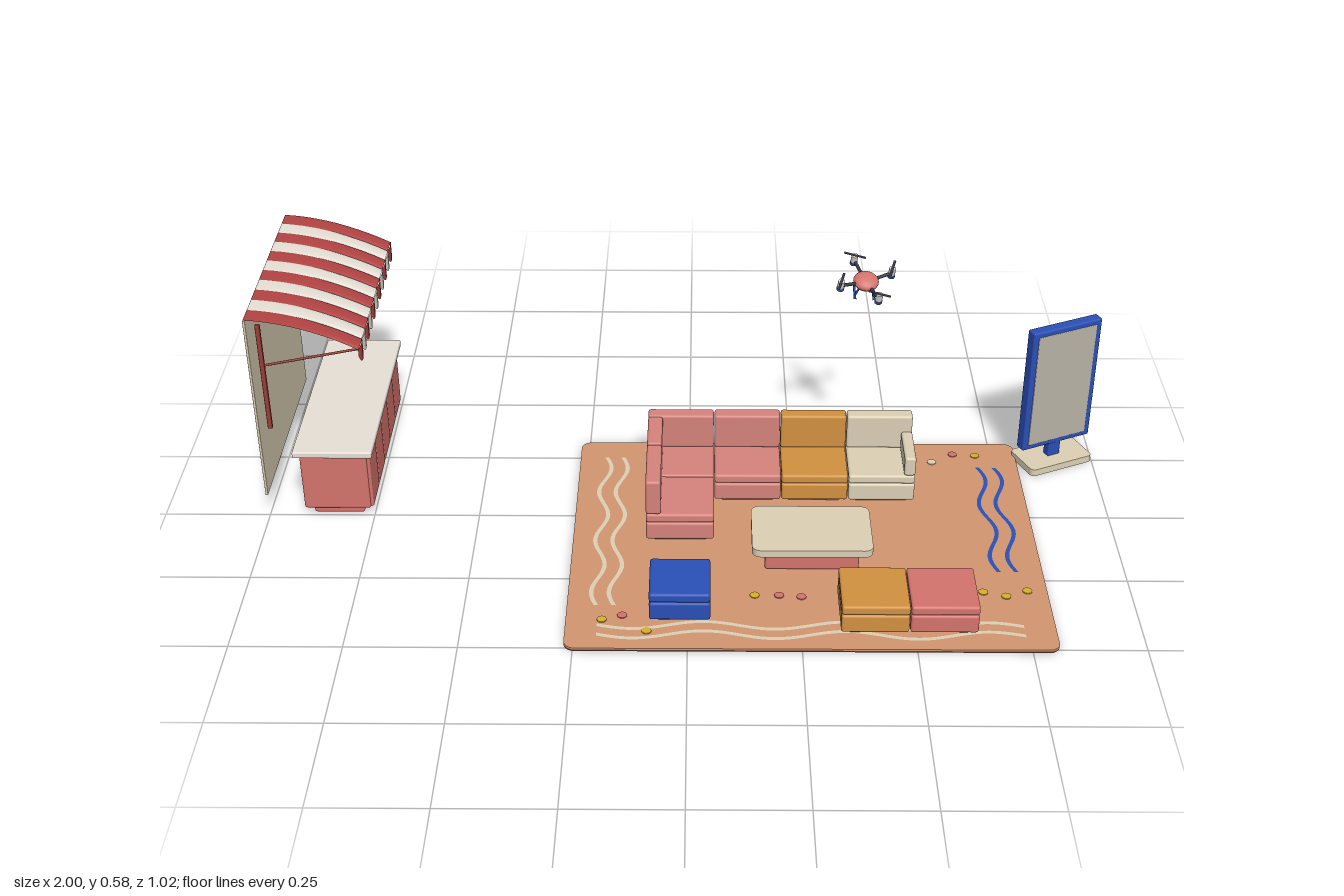
import * as THREE from 'three';
import { RoundedBoxGeometry } from 'three/addons/geometries/RoundedBoxGeometry.js';

const C = { coral: 0xd4736c, pink: 0xd6827c, orange: 0xd29140, cream: 0xdccfb5, blue: 0x2a50b8, red: 0xb24343,
  white: 0xe6e0d6, rug: 0xd29570, brown: 0x5e3d30, wood: 0x9a3d38, dark: 0x333a4a, yellow: 0xd8b02c, screen: 0xb8b2a6 };

function add(parent, name, geometry, color, side = THREE.FrontSide) {
  const mesh = new THREE.Mesh(geometry, new THREE.MeshStandardMaterial({ color, side }));
  mesh.name = name;
  parent.add(mesh);
  return mesh;
}

// Softly rounded box given by its limits on each axis
function block(parent, name, color, [x0, x1], [y0, y1], [z0, z1], r = 0.006) {
  const w = x1 - x0, h = y1 - y0, d = z1 - z0;
  const geo = new RoundedBoxGeometry(w, h, d, 2, Math.min(r, w * 0.45, h * 0.45, d * 0.45));
  const mesh = add(parent, name, geo, color);
  mesh.position.set((x0 + x1) / 2, (y0 + y1) / 2, (z0 + z1) / 2);
  return mesh;
}

// Straight round bar between two points
function bar(parent, name, color, a, b, r) {
  const path = new THREE.LineCurve3(new THREE.Vector3(...a), new THREE.Vector3(...b));
  return add(parent, name, new THREE.TubeGeometry(path, 1, r, 8), color);
}

// Flat slab with rounded corners, lying in the xz plane
function slab(parent, name, color, [x0, x1], [y0, y1], [z0, z1], r) {
  const w = (x1 - x0) / 2, d = (z1 - z0) / 2, s = new THREE.Shape();
  s.absarc(w - r, d - r, r, 0, Math.PI / 2);
  s.absarc(r - w, d - r, r, Math.PI / 2, Math.PI);
  s.absarc(r - w, r - d, r, Math.PI, Math.PI * 1.5);
  s.absarc(w - r, r - d, r, Math.PI * 1.5, Math.PI * 2);
  const geo = new THREE.ExtrudeGeometry(s, { depth: y1 - y0, bevelEnabled: false, curveSegments: 6 });
  geo.rotateX(-Math.PI / 2);
  const mesh = add(parent, name, geo, color);
  mesh.position.set((x0 + x1) / 2, y0, (z0 + z1) / 2);
  return mesh;
}

// Surface from a rule point(u, v), with u and v in 0..1
function surface(nu, nv, point) {
  const geo = new THREE.PlaneGeometry(1, 1, nu, nv), p = geo.attributes.position;
  for (let i = 0; i < p.count; i++) p.setXYZ(i, ...point(p.getX(i) + 0.5, 0.5 - p.getY(i)));
  geo.computeVertexNormals();
  return geo;
}

function rug() {
  const g = new THREE.Group();
  g.name = 'rug';
  slab(g, 'rugBacking', C.brown, [-0.27, 0.81], [0, 0.004], [-0.31, 0.51], 0.025);
  slab(g, 'rugTop', C.rug, [-0.27, 0.81], [0.004, 0.008], [-0.31, 0.51], 0.025);
  // Wavy ribbons: along z at x = c, or along x at z = c
  const wave = (color, c, from, to, alongX, waves, amp) => {
    const geo = surface(60, 1, (u, v) => {
      const a = from + u * (to - from);
      const b = c + amp * Math.sin(u * waves * Math.PI * 2) + (v - 0.5) * 0.01;
      return alongX ? [a, 0.0095, b] : [b, 0.0095, a];
    });
    add(g, 'waveStripe', geo, color, THREE.DoubleSide);
  };
  for (const x of [-0.205, -0.165]) wave(C.cream, x, -0.24, 0.36, false, 3, 0.013);
  for (const x of [0.71, 0.75]) wave(C.blue, x, -0.2, 0.23, false, 2, 0.014);
  for (const z of [0.43, 0.463]) wave(C.cream, z, -0.2, 0.74, true, 3, 0.013);
  const dots = [[0.6, -0.225, C.cream], [0.655, -0.26, C.coral], [0.71, -0.255, C.yellow], [0.15, 0.32, C.yellow],
    [0.205, 0.32, C.coral], [0.255, 0.325, C.coral], [0.665, 0.305, C.yellow], [0.715, 0.32, C.yellow],
    [0.765, 0.3, C.yellow], [-0.19, 0.41, C.yellow], [-0.145, 0.395, C.coral], [-0.09, 0.45, C.yellow]];
  for (const [x, z, color] of dots)
    add(g, 'dot', new THREE.CylinderGeometry(0.011, 0.011, 0.003, 12), color).position.set(x, 0.009, z);
  return g;
}

// Square seat: recessed plinth, base box and cushion
function seat(parent, color, x, z) {
  const inset = ([a, b]) => [a + 0.015, b - 0.015];
  block(parent, 'seatPlinth', color, inset(x), [0.008, 0.022], inset(z));
  block(parent, 'seatBase', color, x, [0.02, 0.066], z);
  block(parent, 'seatCushion', color, x, [0.067, 0.09], z);
}

function sofa() {
  const g = new THREE.Group();
  g.name = 'cornerSofa';
  [C.pink, C.pink, C.orange, C.cream].forEach((color, i) => {
    const x = [-0.099 + i * 0.16, 0.059 + i * 0.16];
    seat(g, color, x, [-0.198, -0.041]);
    block(g, 'backCushion', color, x, [0.09, 0.18], [-0.198, -0.163]);
  });
  seat(g, C.pink, [-0.099, 0.059], [-0.039, 0.123]);
  block(g, 'sideCushion', C.pink, [-0.099, -0.064], [0.09, 0.18], [-0.039, 0.123]);
  block(g, 'sideCushion', C.pink, [-0.099, -0.064], [0.09, 0.18], [-0.163, -0.041]);
  block(g, 'armrest', C.cream, [0.512, 0.539], [0.09, 0.14], [-0.163, -0.041]);
  return g;
}

function ottomansAndTable() {
  const g = new THREE.Group();
  g.name = 'ottomansAndTable';
  seat(g, C.blue, [-0.085, 0.05], [0.29, 0.427]);
  seat(g, C.orange, [0.335, 0.484], [0.32, 0.468]);
  seat(g, C.coral, [0.486, 0.635], [0.32, 0.468]);
  slab(g, 'tableTop', C.cream, [0.145, 0.42], [0.063, 0.081], [0.073, 0.25], 0.02);
  block(g, 'tableBase', C.coral, [0.175, 0.39], [0.008, 0.063], [0.1, 0.223]);
  return g;
}

function stall() {
  const g = new THREE.Group();
  g.name = 'marketStall';
  block(g, 'backWall', C.cream, [-1, -0.994], [0.07, 0.54], [-0.51, 0.02], 0.001);
  // Counter
  block(g, 'counterPlinth', C.coral, [-0.895, -0.775], [0, 0.022], [-0.48, -0.01]);
  block(g, 'counterBody', C.coral, [-0.915, -0.757], [0.02, 0.174], [-0.492, 0.002]);
  for (let i = 0; i < 5; i++) {
    const z = -0.49 + i * 0.098;
    block(g, 'counterPanel', C.coral, [-0.765, -0.75], [0.024, 0.168], [z + 0.002, z + 0.096], 0.004);
  }
  block(g, 'counterTop', C.white, [-0.927, -0.741], [0.173, 0.19], [-0.51, 0.02], 0.004);
  // Striped awning with a scalloped front edge
  const profile = new THREE.QuadraticBezierCurve(
    new THREE.Vector2(-0.998, 0.543), new THREE.Vector2(-0.87, 0.535), new THREE.Vector2(-0.746, 0.468));
  const n = 11, w = 0.53 / n;
  for (let i = 0; i < n; i++) {
    const color = i % 2 ? C.white : C.red, z0 = -0.51 + i * w;
    const bulge = u => Math.sqrt(Math.max(0, 1 - (2 * u - 1) ** 2));
    add(g, 'awningStripe', surface(10, 10, (u, v) => {
      const p = profile.getPoint(v), b = 0.007 * v * bulge(u);
      return [p.x + b * 0.5, p.y + b * 0.8, z0 + (1 - u) * w];
    }), color, THREE.DoubleSide);
    add(g, 'awningScallop', surface(10, 3, (u, v) => {
      const b = bulge(u);
      return [-0.746 + 0.005 * b, 0.468 + 0.0055 * b * (1 - v) - v * (0.018 + 0.02 * b), z0 + (1 - u) * w];
    }), color, THREE.DoubleSide);
  }
  // Posts and slanted arms at both ends
  for (const z of [-0.497, 0.007]) {
    block(g, 'awningPost', C.wood, [-0.976, -0.965], [0.25, 0.525], [z - 0.005, z + 0.005], 0.002);
    bar(g, 'awningArm', C.wood, [-0.97, 0.418, z], [-0.748, 0.463, z], 0.003);
  }
  bar(g, 'awningFrontRail', C.wood, [-0.75, 0.462, -0.505], [-0.75, 0.462, 0.015], 0.003);
  return g;
}

function signStand() {
  const g = new THREE.Group();
  g.name = 'signStand';
  slab(g, 'signBase', C.cream, [-0.087, 0.087], [0, 0.018], [-0.052, 0.052], 0.012);
  block(g, 'signPost', C.blue, [-0.017, 0.017], [0.016, 0.06], [-0.011, 0.011], 0.003);
  block(g, 'signPanel', C.blue, [-0.096, 0.096], [0.055, 0.385], [-0.014, 0.014], 0.004);
  block(g, 'signScreen', C.screen, [-0.082, 0.082], [0.068, 0.372], [0.01, 0.0155], 0.002);
  g.position.set(0.9, 0, -0.258);
  g.rotation.y = 0.43;
  return g;
}

function drone() {
  const g = new THREE.Group();
  g.name = 'drone';
  const body = add(g, 'droneBody', new THREE.SphereGeometry(0.03, 20, 12), C.coral);
  body.scale.set(1, 0.5, 1);
  const belly = add(g, 'droneBelly', new THREE.SphereGeometry(0.025, 16, 10), C.white);
  belly.scale.set(1, 0.5, 1);
  belly.position.y = -0.007;
  for (let i = 0; i < 4; i++) {
    const arm = new THREE.Group();
    arm.name = 'droneArm';
    arm.rotation.y = 0.4 + i * Math.PI / 2;
    bar(arm, 'armBar', C.dark, [0.02, 0, 0], [0.066, 0.006, 0], 0.004);
    add(arm, 'motor', new THREE.CylinderGeometry(0.008, 0.008, 0.024, 12), C.white).position.set(0.066, 0.009, 0);
    add(arm, 'motorRing', new THREE.CylinderGeometry(0.009, 0.009, 0.007, 12), C.blue).position.set(0.066, -0.002, 0);
    const blade = block(arm, 'propeller', C.dark, [0.04, 0.092], [0.021, 0.023], [-0.003, 0.003], 0.001);
    blade.rotation.y = 0.9;
    g.add(arm);
  }
  // Landing skids
  for (const s of [-1, 1]) {
    bar(g, 'skid', C.blue, [s * 0.022, -0.035, -0.028], [s * 0.022, -0.035, 0.028], 0.003);
    for (const z of [-0.014, 0.014]) bar(g, 'skidLeg', C.blue, [s * 0.014, -0.006, z], [s * 0.022, -0.035, z], 0.0025);
  }
  g.position.set(0.41, 0.537, -0.187);
  g.rotation.set(0.3, 0, -0.08);
  return g;
}

export function createModel() {
  const model = new THREE.Group();
  model.name = 'loungeScene';
  model.add(rug(), sofa(), ottomansAndTable(), stall(), signStand(), drone());
  return model;
}
